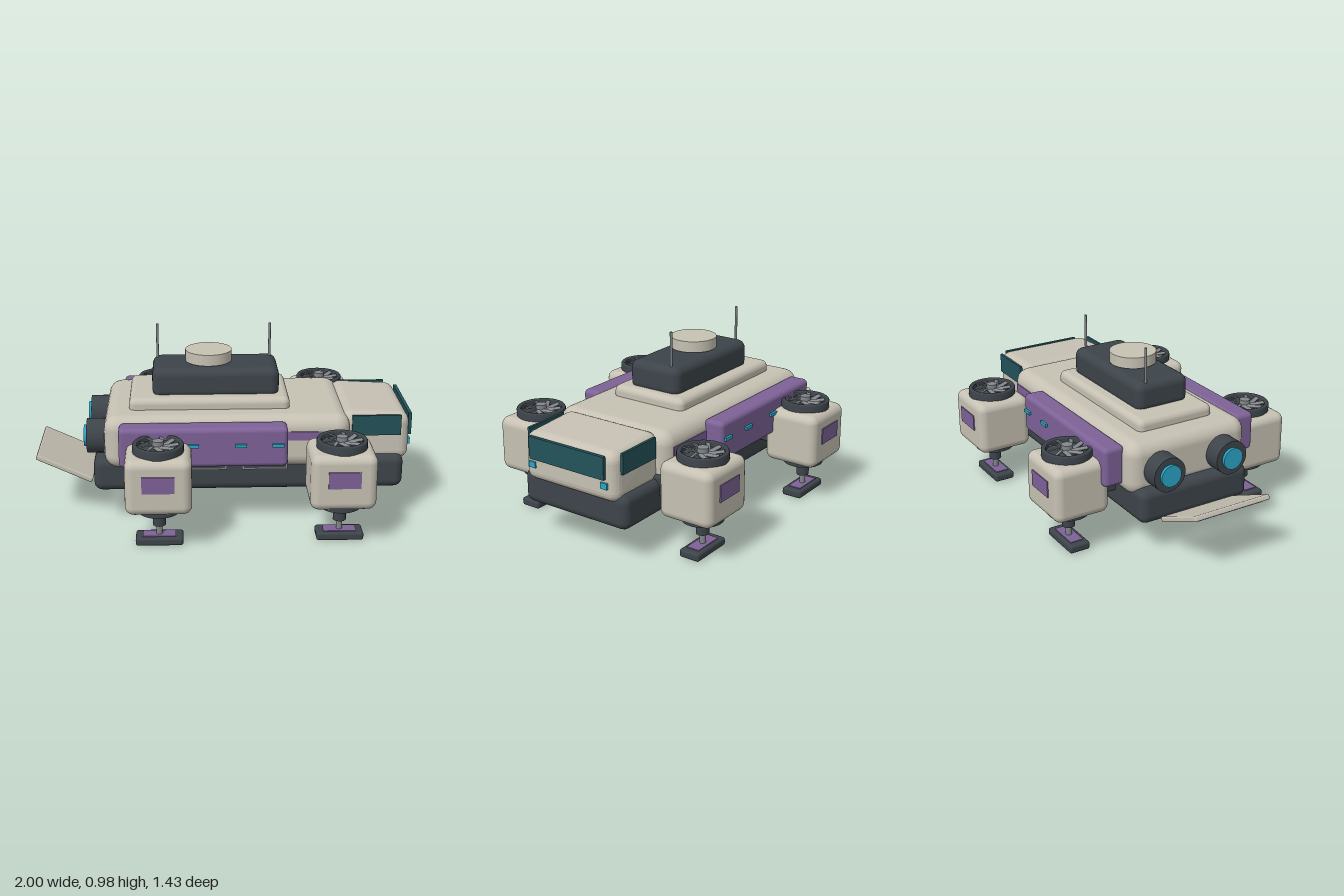
import * as THREE from 'three';
import { RoundedBoxGeometry } from 'three/addons/geometries/RoundedBoxGeometry.js';

const mat = (name, color) => {
  const m = new THREE.MeshStandardMaterial({ color });
  m.name = name;
  return m;
};

export function createModel() {
  const cream = mat('cream', 0xc6c1b3);
  const dark = mat('charcoal', 0x3d444a);
  const purple = mat('purple', 0x7d6297);
  const grey = mat('grey', 0x83878b);
  const cyan = mat('cyan', 0x2aa6c6);
  const glass = mat('darkTeal', 0x23525a);

  const root = new THREE.Group();
  root.name = 'hoverTransport';

  const add = (parent, name, geo, m, x, y, z) => {
    const mesh = new THREE.Mesh(geo, m);
    mesh.name = name;
    mesh.position.set(x, y, z);
    parent.add(mesh);
    return mesh;
  };
  // Boxes given by their ranges [min, max] on each axis
  const mid = (r) => (r[0] + r[1]) / 2;
  const len = (r) => r[1] - r[0];
  const rbox = (parent, name, m, xr, yr, zr, radius) =>
    add(parent, name, new RoundedBoxGeometry(len(xr), len(yr), len(zr), 3, radius), m, mid(xr), mid(yr), mid(zr));
  const box = (parent, name, m, xr, yr, zr) =>
    add(parent, name, new THREE.BoxGeometry(len(xr), len(yr), len(zr)), m, mid(xr), mid(yr), mid(zr));
  const cyl = (parent, name, m, r, h, x, y, z, sides = 32, r2 = r) =>
    add(parent, name, new THREE.CylinderGeometry(r, r2, h, sides), m, x, y, z);

  // Hull and main body
  rbox(root, 'lowerHull', dark, [-0.69, 0.95], [0.185, 0.37], [-0.327, 0.327], 0.045);
  rbox(root, 'body', cream, [-0.63, 0.66], [0.315, 0.605], [-0.357, 0.357], 0.075);

  // Cab, tapering a little towards the front and the top
  const cab = rbox(root, 'cab', cream, [0.62, 0.98], [0.33, 0.605], [-0.293, 0.293], 0.055);
  const p = cab.geometry.attributes.position;
  for (let i = 0; i < p.count; i++) {
    const fx = p.getX(i) / 0.36 + 0.5;
    const fy = p.getY(i) / 0.275 + 0.5;
    p.setY(i, p.getY(i) - 0.018 * fx * fy);
    p.setZ(i, p.getZ(i) * (1 - 0.03 * fy * fx));
  }
  cab.geometry.computeVertexNormals();
  box(root, 'windshield', glass, [0.979, 0.997], [0.457, 0.576], [-0.236, 0.236]);

  // Roof equipment
  rbox(root, 'roofPlate', cream, [-0.5, 0.35], [0.575, 0.665], [-0.224, 0.224], 0.035);
  rbox(root, 'roofModule', dark, [-0.377, 0.297], [0.64, 0.804], [-0.157, 0.157], 0.045);
  cyl(root, 'radarDisc', cream, 0.125, 0.06, -0.075, 0.842, 0);
  cyl(root, 'radarMount', dark, 0.08, 0.02, -0.075, 0.806, 0);
  for (const x of [-0.35, 0.26]) {
    cyl(root, 'antenna', grey, 0.007, 0.2, x, 0.887, -0.095, 10);
  }

  for (const s of [1, -1]) {
    const z = (a, b) => (s > 0 ? [a, b] : [-b, -a]);

    // Cab side window and headlight
    box(root, 'sideWindow', glass, [0.672, 0.93], [0.478, 0.588], z(0.288, 0.302));
    box(root, 'headlight', cyan, [0.972, 0.99], [0.408, 0.44], z(0.208, 0.247));

    // Side locker with marker lights, and the stripe behind it
    rbox(root, 'sideLocker', purple, [-0.548, 0.322], [0.37, 0.583], z(0.34, 0.457), 0.025);
    box(root, 'sideStripe', purple, [-0.5, 0.6], [0.477, 0.525], z(0.354, 0.362));
    for (const x of [-0.165, 0.08, 0.27]) {
      box(root, 'markerLight', cyan, [x - 0.03, x + 0.03], [0.483, 0.5], z(0.455, 0.47));
    }

    // Framed vents below the locker
    for (const [a, b] of [[-0.25, 0.01], [0.09, 0.33]]) {
      box(root, 'ventFrame', grey, [a, b], [0.318, 0.45], z(0.34, 0.36));
      box(root, 'ventPanel', dark, [a + 0.01, b - 0.01], [0.328, 0.44], z(0.345, 0.364));
    }

    // Rear thruster
    const nozzle = cyl(root, 'thruster', dark, 0.092, 0.13, -0.66, 0.455, s * 0.188);
    nozzle.rotation.z = Math.PI / 2;
    const glow = cyl(root, 'thrusterGlow', cyan, 0.058, 0.03, -0.726, 0.455, s * 0.188);
    glow.rotation.z = Math.PI / 2;

    // Lift pods
    for (const [x, zc] of [[-0.343, 0.555], [0.588, 0.524]]) {
      const arm = rbox(root, 'podArm', dark, [x - 0.09, x + 0.09], [0.28, 0.387], z(0.27, 0.44), 0.012);
      arm.name = 'podArm';
      root.add(makePod(x, s * zc, s));
    }
  }

  // Rear ramp, hinged at its lower edge
  const ramp = new THREE.Group();
  ramp.name = 'ramp';
  ramp.position.set(-0.852, 0.277, 0);
  ramp.rotation.z = -0.44;
  root.add(ramp);
  rbox(ramp, 'rampPanel', cream, [-0.162, 0.162], [-0.014, 0.014], [-0.225, 0.225], 0.008);
  box(ramp, 'rampUnderside', purple, [-0.135, 0.135], [-0.018, -0.013], [-0.195, 0.195]);

  function makePod(x, zc, side) {
    const pod = new THREE.Group();
    pod.name = 'liftPod';
    pod.position.set(x, 0, zc);
    rbox(pod, 'podShell', cream, [-0.168, 0.168], [0.212, 0.508], [-0.154, 0.154], 0.045);
    const face = side * 0.156;
    box(pod, 'podPanel', purple, [-0.082, 0.082], [0.34, 0.428], [face - 0.004, face + 0.004]);

    // Fan: open rim, floor, slanted blades and hub
    const rim = [[0.13, 0.5], [0.13, 0.543], [0.125, 0.55], [0.112, 0.55], [0.106, 0.543], [0.106, 0.5]];
    const rimMat = dark;
    add(pod, 'fanRim', new THREE.LatheGeometry(rim.map(([r, y]) => new THREE.Vector2(r, y)).reverse(), 32), rimMat, 0, 0, 0)
      .geometry.index.array.reverse();
    const rimGeo = pod.children[pod.children.length - 1].geometry;
    rimGeo.computeVertexNormals();
    orientOutward(rimGeo);
    cyl(pod, 'fanFloor', dark, 0.11, 0.03, 0, 0.508, 0);
    cyl(pod, 'fanHub', grey, 0.029, 0.045, 0, 0.54, 0, 20);
    for (let i = 0; i < 9; i++) {
      const spoke = new THREE.Group();
      spoke.rotation.y = (i * Math.PI * 2) / 9;
      spoke.name = 'fanBlade';
      const blade = add(spoke, 'blade', new THREE.BoxGeometry(0.085, 0.006, 0.022), grey, 0.063, 0.538, 0.008);
      blade.rotation.set(0.35, 0.25, 0);
      pod.add(spoke);
    }

    // Lower vent and landing leg
    cyl(pod, 'lowerRing', dark, 0.108, 0.035, 0, 0.2, 0);
    cyl(pod, 'lowerGlow', cyan, 0.078, 0.012, 0, 0.181, 0);
    cyl(pod, 'legSleeve', dark, 0.034, 0.09, 0, 0.148, 0, 12);
    cyl(pod, 'legStrut', grey, 0.016, 0.08, 0, 0.08, 0, 12);
    rbox(pod, 'foot', dark, [-0.122, 0.122], [0.004, 0.048], [-0.058, 0.058], 0.014);
    box(pod, 'footPad', purple, [-0.085, 0.085], [0.045, 0.052], [-0.036, 0.036]);
    return pod;
  }

  // Keep the rim's first face pointing up or outwards
  function orientOutward(geo) {
    const n = geo.attributes.normal;
    const pos = geo.attributes.position;
    let dot = 0;
    for (let i = 0; i < n.count; i++) {
      const r = Math.hypot(pos.getX(i), pos.getZ(i));
      const out = (pos.getX(i) * n.getX(i) + pos.getZ(i) * n.getZ(i)) / r;
      dot += out * (r - 0.118) + n.getY(i) * (pos.getY(i) - 0.53);
    }
    if (dot < 0) {
      geo.index.array.reverse();
      geo.computeVertexNormals();
    }
  }

  return root;
}
